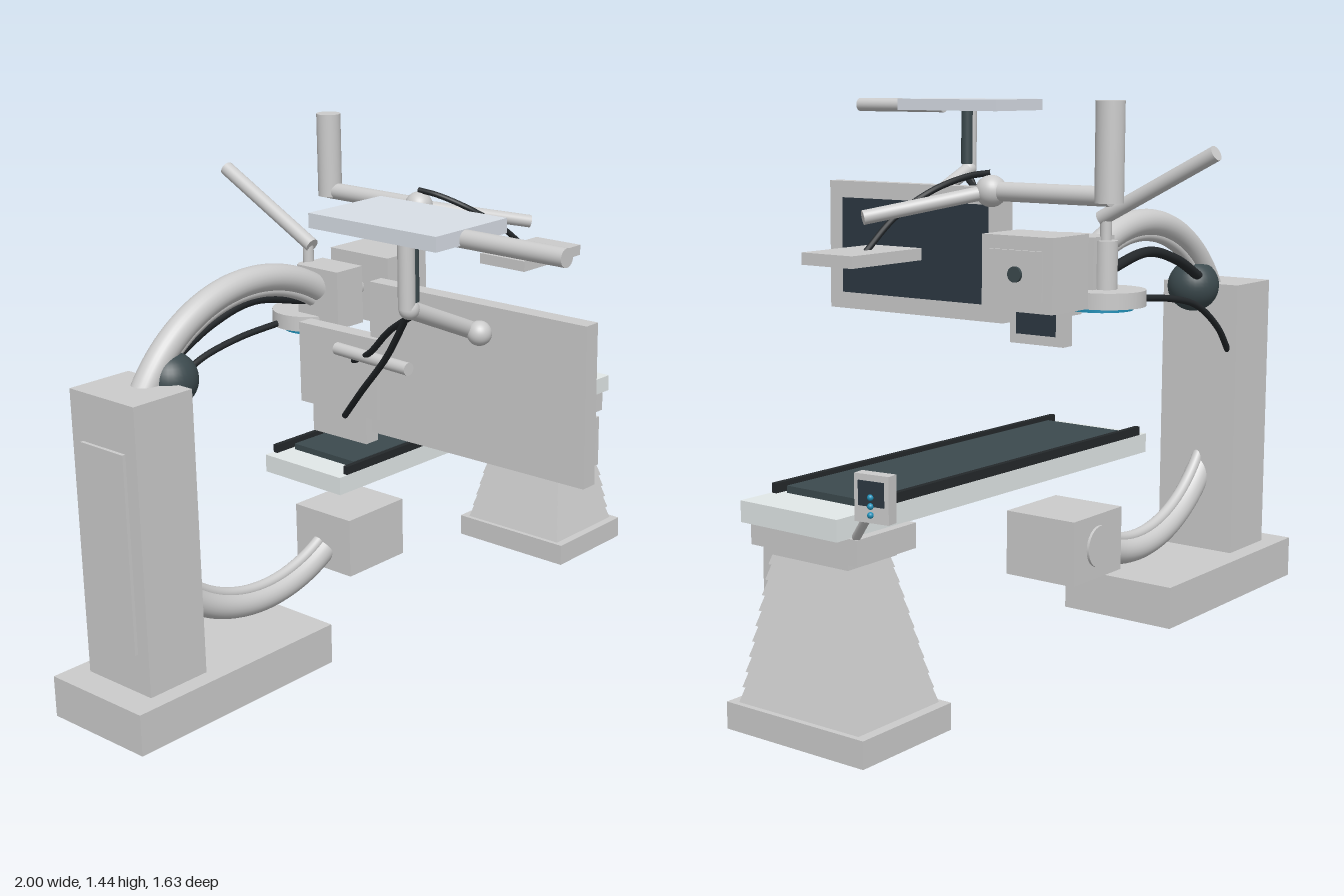
import * as THREE from 'three';

const mat = (color) => new THREE.MeshStandardMaterial({ color });
const V = (p) => new THREE.Vector3(...p);

export function createModel() {
  const root = new THREE.Group();
  const grey = mat(0xcccccc), pale = mat(0xe2e8e8), plate = mat(0xd8dee6);
  const dark = mat(0x3c4a4e), glass = mat(0x2c3842), rubber = mat(0x24282b), blue = mat(0x2090b8);

  const add = (parent, name, geo, m) => {
    const mesh = new THREE.Mesh(geo, m);
    mesh.name = name;
    parent.add(mesh);
    return mesh;
  };
  const group = (name, parent = root) => {
    const g = new THREE.Group();
    g.name = name;
    parent.add(g);
    return g;
  };
  // Box given by its extents on each axis
  const box = (parent, name, [x0, x1], [y0, y1], [z0, z1], m = grey) => {
    const b = add(parent, name, new THREE.BoxGeometry(x1 - x0, y1 - y0, z1 - z0), m);
    b.position.set((x0 + x1) / 2, (y0 + y1) / 2, (z0 + z1) / 2);
    return b;
  };
  // Cylinder between two points
  const rod = (parent, name, a, b, r, m = grey) => {
    const A = V(a), B = V(b), d = B.clone().sub(A);
    const c = add(parent, name, new THREE.CylinderGeometry(r, r, d.length(), 32), m);
    c.position.copy(A).add(B).multiplyScalar(0.5);
    c.quaternion.setFromUnitVectors(new THREE.Vector3(0, 1, 0), d.normalize());
    return c;
  };
  const ball = (parent, name, p, r, m = grey) => {
    const s = add(parent, name, new THREE.SphereGeometry(r, 32, 20), m);
    s.position.set(...p);
    return s;
  };
  const cable = (parent, name, pts, r, m = rubber) =>
    add(parent, name, new THREE.TubeGeometry(new THREE.CatmullRomCurve3(pts.map(V)), 48, r, 12), m);

  // Floor base and column
  const stand = group('stand');
  box(stand, 'basePlinth', [-0.93, -0.38], [0, 0.02], [-0.55, -0.29]);
  box(stand, 'base', [-1, -0.31], [0.015, 0.13], [-0.59, -0.25]);
  box(stand, 'column', [-0.92, -0.73], [0.13, 0.91], [-0.54, -0.3]);
  box(stand, 'columnPanel', [-0.93, -0.91], [0.24, 0.78], [-0.5, -0.34]);
  ball(stand, 'pivot', [-0.7, 0.905, -0.415], 0.073, dark);

  // C-shaped arm with an inner rail
  const cArm = group('cArm');
  const a0 = Math.acos(0.24 / 0.453);
  const arc = (name, R, r) => {
    const t = add(cArm, name, new THREE.TorusGeometry(R, r, 24, 96, Math.PI * 2 - 2 * a0), grey);
    t.rotation.z = a0;
    t.position.set(-0.4, 0.65, -0.42);
  };
  arc('armTube', 0.453, 0.037);
  arc('armRail', 0.418, 0.016);
  cable(cArm, 'armHose', [[-0.68, 0.93, -0.45], [-0.5, 1.0, -0.47], [-0.35, 1.03, -0.472], [-0.14, 0.99, -0.47]], 0.014);
  cable(cArm, 'columnCable', [[-0.74, 0.72, -0.51], [-0.64, 0.8, -0.53], [-0.5, 0.877, -0.54],
    [-0.35, 0.91, -0.54], [-0.18, 0.925, -0.53]], 0.009);

  // Lower X-ray source
  const source = group('source');
  box(source, 'sourceHousing', [-0.16, 0.065], [0.205, 0.375], [-0.525, -0.315]);
  rod(source, 'sourceCap', [-0.05, 0.29, -0.52], [-0.05, 0.29, -0.532], 0.055);

  // Upper detector head
  const head = group('detectorHead');
  box(head, 'headBlock', [-0.16, -0.06], [0.93, 1.09], [-0.49, -0.34]);
  box(head, 'headHousing', [0, 0.16], [0.915, 1.105], [-0.515, -0.3]);
  box(head, 'headFacePlate', [0.15, 0.168], [0.945, 1.07], [-0.488, -0.328]);
  rod(head, 'headLink', [-0.07, 1.01, -0.415], [0.01, 1.01, -0.415], 0.025);
  rod(head, 'headKnob', [0.16, 1.01, -0.41], [0.176, 1.01, -0.41], 0.02, dark);
  rod(head, 'detectorStem', [-0.105, 0.95, -0.5], [-0.105, 1.08, -0.5], 0.03);
  rod(head, 'detectorDisc', [-0.105, 0.913, -0.5], [-0.105, 0.955, -0.5], 0.105);
  rod(head, 'detectorLens', [-0.105, 0.902, -0.485], [-0.105, 0.915, -0.485], 0.086, blue);
  rod(head, 'handlePost', [-0.11, 1.05, -0.495], [-0.11, 1.15, -0.495], 0.015);
  rod(head, 'handleBar', [-0.11, 1.135, -0.48], [-0.11, 1.31, -0.81], 0.02);

  // Patient table, turned slightly
  const table = group('table');
  const top = group('tableTop', table);
  top.position.set(0.345, 0, -0.375);
  top.rotation.y = -0.016;
  box(top, 'tableBoard', [-0.615, 0.615], [0.505, 0.555], [-0.145, 0.145], pale);
  box(top, 'mattress', [-0.53, 0.495], [0.55, 0.572], [-0.115, 0.115], dark);
  for (const s of [-1, 1]) {
    box(top, 'sideRail', [-0.585, 0.515], [0.553, 0.578], [s * 0.137 - 0.007, s * 0.137 + 0.007], rubber);
  }

  // Pedestal with a stepped bellows cover
  const cx = 0.808, cz = -0.378;
  box(table, 'pedestalPlinth', [0.68, 0.94], [0, 0.02], [-0.54, -0.27]);
  box(table, 'pedestalBase', [0.652, 0.965], [0.01, 0.075], [-0.583, -0.173]);
  const layers = 10, h = 0.365 / layers;
  for (let i = 0; i < layers; i++) {
    const t = i / (layers - 1);
    const f = add(table, 'bellowsFold', new THREE.BoxGeometry(1, h, 1), grey);
    const p = f.geometry.attributes.position;
    const w = 0.285 - 0.125 * t, d = 0.36 - 0.12 * t;
    for (let k = 0; k < p.count; k++) {
      const inset = p.getY(k) > 0 ? 0.022 : 0;
      p.setX(k, Math.sign(p.getX(k)) * (w - inset) / 2);
      p.setZ(k, Math.sign(p.getZ(k)) * (d - inset) / 2);
    }
    f.geometry.computeVertexNormals();
    f.position.set(cx + 0.022 * t, 0.075 + h * (i + 0.5), cz);
  }
  box(table, 'pedestalNeck', [0.745, 0.915], [0.43, 0.46], [-0.5, -0.255]);
  box(table, 'pedestalCap', [0.72, 0.925], [0.447, 0.506], [-0.535, -0.22]);
  box(table, 'controlBox', [0.662, 0.82], [0.305, 0.465], [-0.285, -0.157]);

  // Bedside control screen
  const control = group('controlScreen', table);
  rod(control, 'controlArm', [0.915, 0.51, -0.525], [0.965, 0.585, -0.605], 0.01);
  const pad = group('controlPad', control);
  pad.position.set(0.972, 0.623, -0.627);
  pad.rotation.y = 0.12;
  box(pad, 'padHousing', [-0.015, 0.015], [-0.052, 0.052], [-0.043, 0.043]);
  box(pad, 'padScreen', [0.012, 0.018], [-0.016, 0.038], [-0.032, 0.032], glass);
  for (const y of [-0.034, -0.015, 0.004]) ball(pad, 'padButton', [0.019, y, 0], 0.007, blue);

  // Ceiling-hung swivel arm with tray
  const swivel = group('swivelArm');
  rod(swivel, 'ceilingPost', [0.19, 1.2, -0.695], [0.19, 1.44, -0.695], 0.035);
  rod(swivel, 'upperArm', [0.19, 1.215, -0.7], [0.19, 1.215, -0.35], 0.024);
  ball(swivel, 'elbow', [0.19, 1.215, -0.35], 0.04);
  rod(swivel, 'foreArm', [0.19, 1.215, -0.35], [0.445, 1.155, -0.15], 0.018);
  box(swivel, 'tray', [0.31, 0.575], [1.045, 1.075], [-0.225, -0.065]);
  cable(swivel, 'trayCable', [[0.19, 1.26, -0.35], [0.205, 1.25, -0.29], [0.25, 1.215, -0.215],
    [0.34, 1.15, -0.165], [0.44, 1.065, -0.148]], 0.008);

  // Monitors facing +x
  const monitors = group('monitors');
  const monitor = (name, x, [y0, y1], [z0, z1], sy, sz) => {
    const g = group(name, monitors);
    g.position.set(x, 0, (z0 + z1) / 2);
    g.rotation.y = 0.015;
    const c = g.position.z;
    box(g, 'monitorCase', [-0.022, 0.022], [y0, y1], [z0 - c, z1 - c]);
    box(g, 'monitorGlass', [0.018, 0.0245], sy, sz.map((z) => z - c), glass);
  };
  monitor('largeMonitor', -0.405, [0.79, 1.18], [0.03, 0.68], [0.84, 1.13], [0.083, 0.63]);
  monitor('middleMonitor', -0.425, [0.83, 1.04], [-0.2, 0.06], [0.858, 1.01], [-0.165, 0.04]);
  monitor('smallMonitor', -0.39, [0.742, 0.89], [-0.193, -0.01], [0.77, 0.86], [-0.167, -0.033]);

  // Monitor suspension
  const hanger = group('monitorHanger');
  box(hanger, 'ceilingPlate', [-0.775, -0.535], [1.393, 1.427], [0.167, 0.54], plate);
  rod(hanger, 'ceilingRod', [-0.677, 1.405, 0.47], [-0.677, 1.405, 0.81], 0.021);
  rod(hanger, 'dropPost', [-0.663, 1.215, 0.357], [-0.663, 1.4, 0.357], 0.02);
  rod(hanger, 'postCover', [-0.647, 1.23, 0.357], [-0.647, 1.395, 0.357], 0.018, dark);
  ball(hanger, 'postJoint', [-0.655, 1.213, 0.357], 0.024);
  rod(hanger, 'hangerArm', [-0.655, 1.213, 0.357], [-0.42, 1.11, 0.357], 0.021);
  ball(hanger, 'monitorJoint', [-0.44, 1.115, 0.385], 0.03);
  rod(hanger, 'backBar', [-0.462, 1.0, -0.055], [-0.482, 1.0, 0.2], 0.016);
  cable(hanger, 'monitorCableLong', [[-0.63, 1.19, 0.33], [-0.58, 1.06, 0.22], [-0.52, 0.93, 0.08], [-0.445, 0.82, -0.05]], 0.008);
  cable(hanger, 'monitorCableShort', [[-0.62, 1.19, 0.34], [-0.55, 1.11, 0.2], [-0.49, 1.02, 0.08], [-0.44, 0.97, -0.02]], 0.008);

  return root;
}
